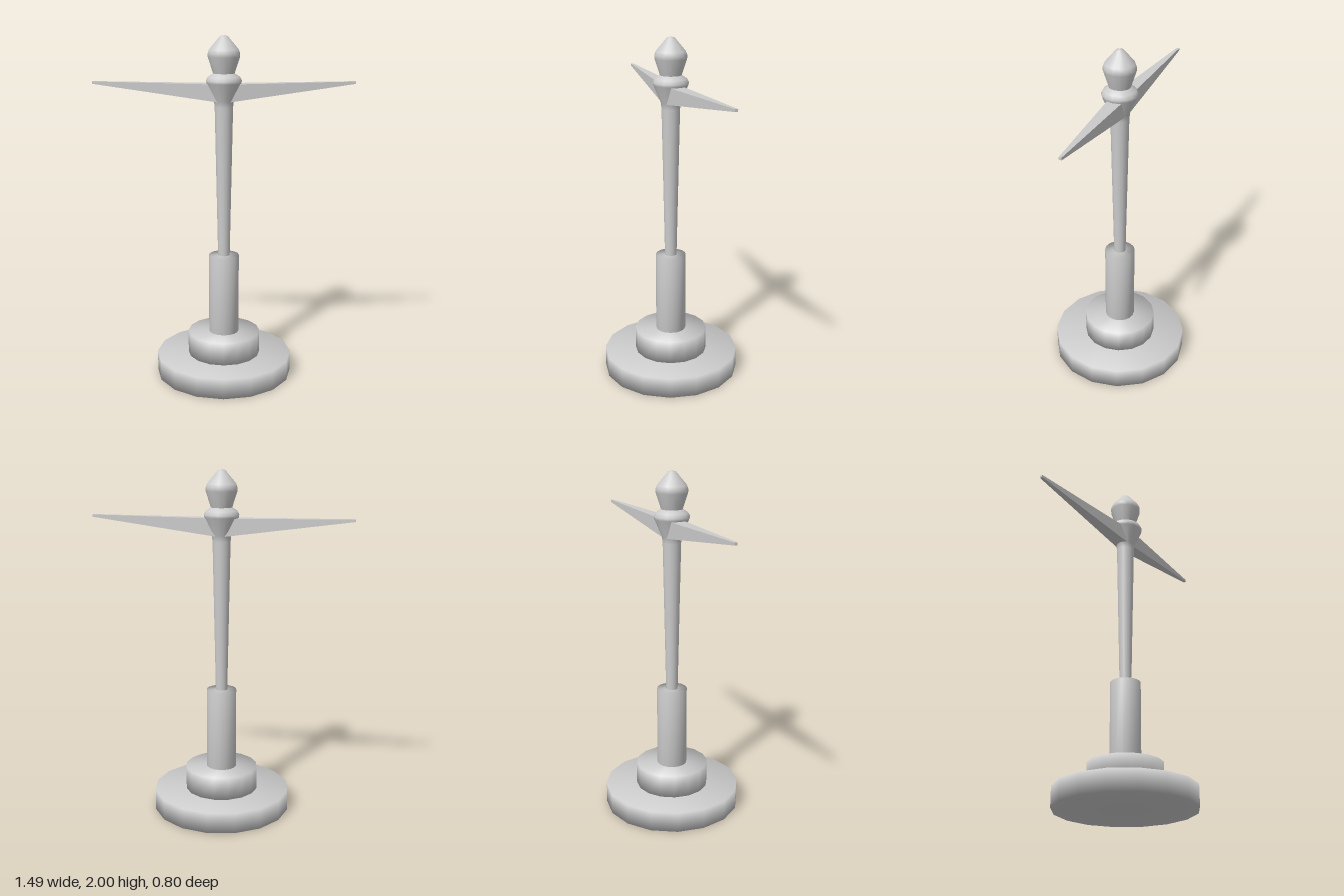
import * as THREE from 'three';
import { mergeVertices } from 'three/addons/utils/BufferGeometryUtils.js';

const SIDES = 16;
const material = new THREE.MeshStandardMaterial({ color: 0xcccccc });
const flatMaterial = new THREE.MeshStandardMaterial({ color: 0xcccccc, flatShading: true });

// Cylinder from y0 to y1, with normals blended over the rims
function tier(name, radius, y0, y1) {
  let geo = new THREE.CylinderGeometry(radius, radius, y1 - y0, SIDES);
  geo.deleteAttribute('uv');
  geo.deleteAttribute('normal');
  geo = mergeVertices(geo);
  geo.computeVertexNormals();
  geo.translate(0, (y0 + y1) / 2, 0);
  const mesh = new THREE.Mesh(geo, material);
  mesh.name = name;
  return mesh;
}

// Turned part from [radius, height] pairs
function turned(name, profile) {
  const points = profile.map(([r, y]) => new THREE.Vector2(r, y));
  const mesh = new THREE.Mesh(new THREE.LatheGeometry(points, SIDES), material);
  mesh.name = name;
  return mesh;
}

// Crossbar with level top and straight back, tapering out to both tips
function makeCrossbar() {
  const half = 0.743;
  const geo = new THREE.BoxGeometry(2 * half, 1, 1, 2, 1, 1);
  const pos = geo.attributes.position;
  for (let i = 0; i < pos.count; i++) {
    const t = Math.abs(pos.getX(i)) / half;
    const y = pos.getY(i) > 0
      ? THREE.MathUtils.lerp(1.73, 1.741, t)
      : THREE.MathUtils.lerp(1.627, 1.727, t);
    const z = pos.getZ(i) > 0 ? THREE.MathUtils.lerp(0.044, -0.031, t) : -0.047;
    pos.setY(i, y);
    pos.setZ(i, z);
  }
  geo.computeVertexNormals();
  const mesh = new THREE.Mesh(geo, flatMaterial);
  mesh.name = 'crossbar';
  return mesh;
}

export function createModel() {
  const model = new THREE.Group();
  model.name = 'post';

  // Stepped foot and sleeve
  model.add(
    tier('base', 0.4, 0, 0.12),
    tier('plinth', 0.213, 0.12, 0.255),
    tier('sleeve', 0.088, 0.255, 0.73),
  );

  // Slim shaft flaring into a collar
  model.add(turned('shaft', [
    [0.034, 0.72], [0.052, 1.6], [0.056, 1.635], [0.098, 1.735],
    [0.101, 1.75], [0.09, 1.77], [0.06, 1.79],
  ]));

  // Pointed finial
  model.add(turned('finial', [
    [0.055, 1.77], [0.064, 1.8], [0.09, 1.88], [0.09, 1.9],
    [0.083, 1.92], [0.022, 1.993], [0, 2],
  ]));

  model.add(makeCrossbar());
  return model;
}
